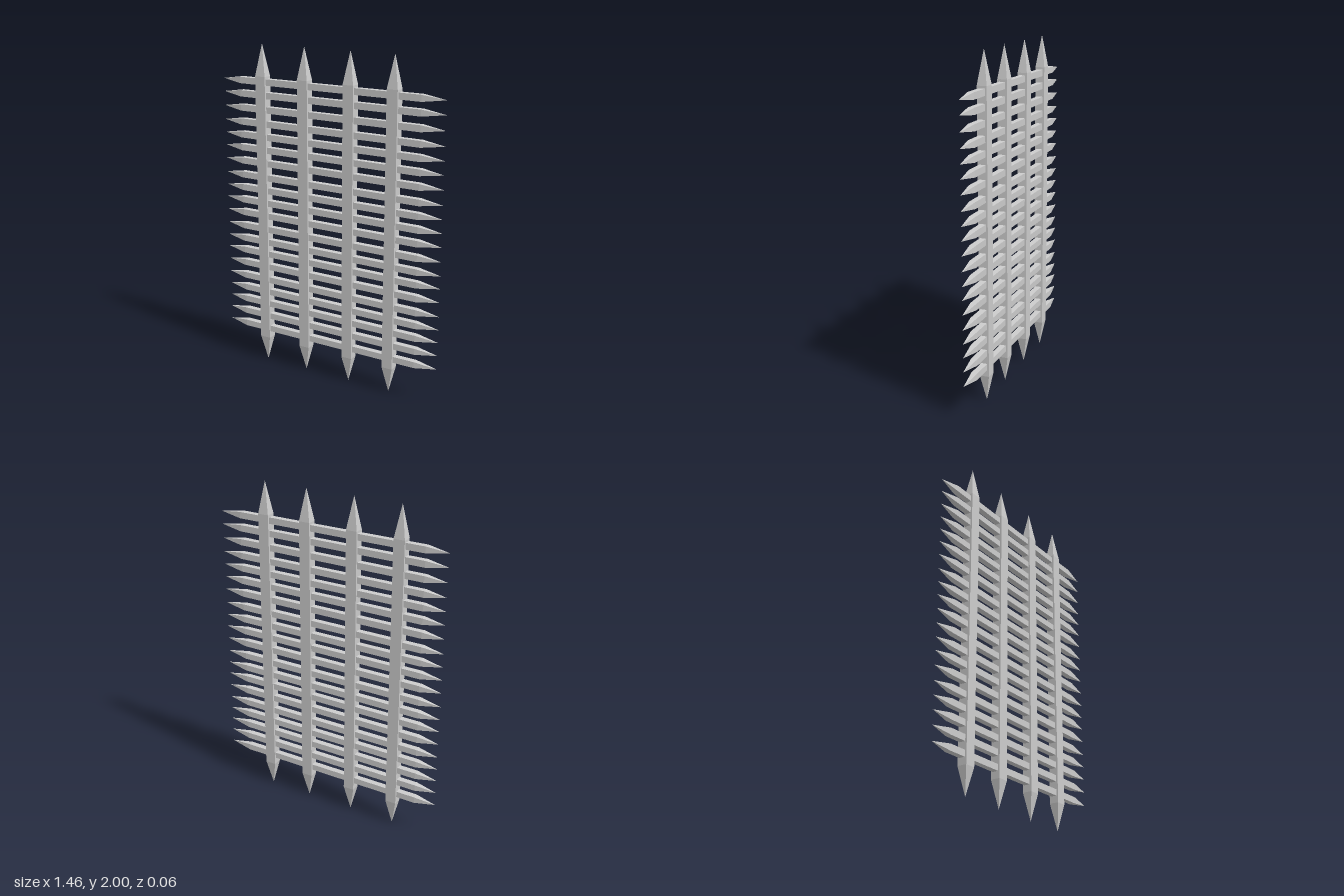
import * as THREE from 'three';

const material = new THREE.MeshStandardMaterial({ color: 0xcccccc, flatShading: true });

// Square bar along y, sharpened to a point at both ends
function spikedBar(width, depth, tipLow, bodyLow, bodyHigh, tipHigh) {
  const r = Math.SQRT1_2; // a four-sided lathe of this radius is one unit wide
  const profile = [[0, tipLow], [r, bodyLow], [r, bodyHigh], [0, tipHigh]]
    .map(([x, y]) => new THREE.Vector2(x, y));
  const bar = new THREE.LatheGeometry(profile, 4, Math.PI / 4)
    .scale(width, 1, depth)
    .toNonIndexed();
  bar.computeVertexNormals();
  return bar;
}

export function createModel() {
  const model = new THREE.Group();
  model.name = 'spikedGate';

  const add = (name, geometry, x, y) => {
    const mesh = new THREE.Mesh(geometry, material);
    mesh.name = name;
    mesh.position.set(x, y, 0);
    model.add(mesh);
  };

  // Thick upright bars
  const upright = spikedBar(0.067, 0.057, 0, 0.16, 1.81, 2);
  [-0.45, -0.161, 0.14, 0.415].forEach((x, i) => add(`upright${i + 1}`, upright, x, 0));

  // Thin crossbars, slightly unevenly spaced
  const crossbar = spikedBar(0.038, 0.036, -0.73, -0.6, 0.585, 0.727).rotateZ(-Math.PI / 2);
  const heights = [
    0.22, 0.305, 0.387, 0.466, 0.546, 0.632, 0.715, 0.792, 0.874, 0.96,
    1.041, 1.12, 1.2, 1.288, 1.37, 1.449, 1.528, 1.613, 1.698, 1.777,
  ];
  heights.forEach((y, i) => add(`crossbar${i + 1}`, crossbar, 0, y));

  return model;
}
